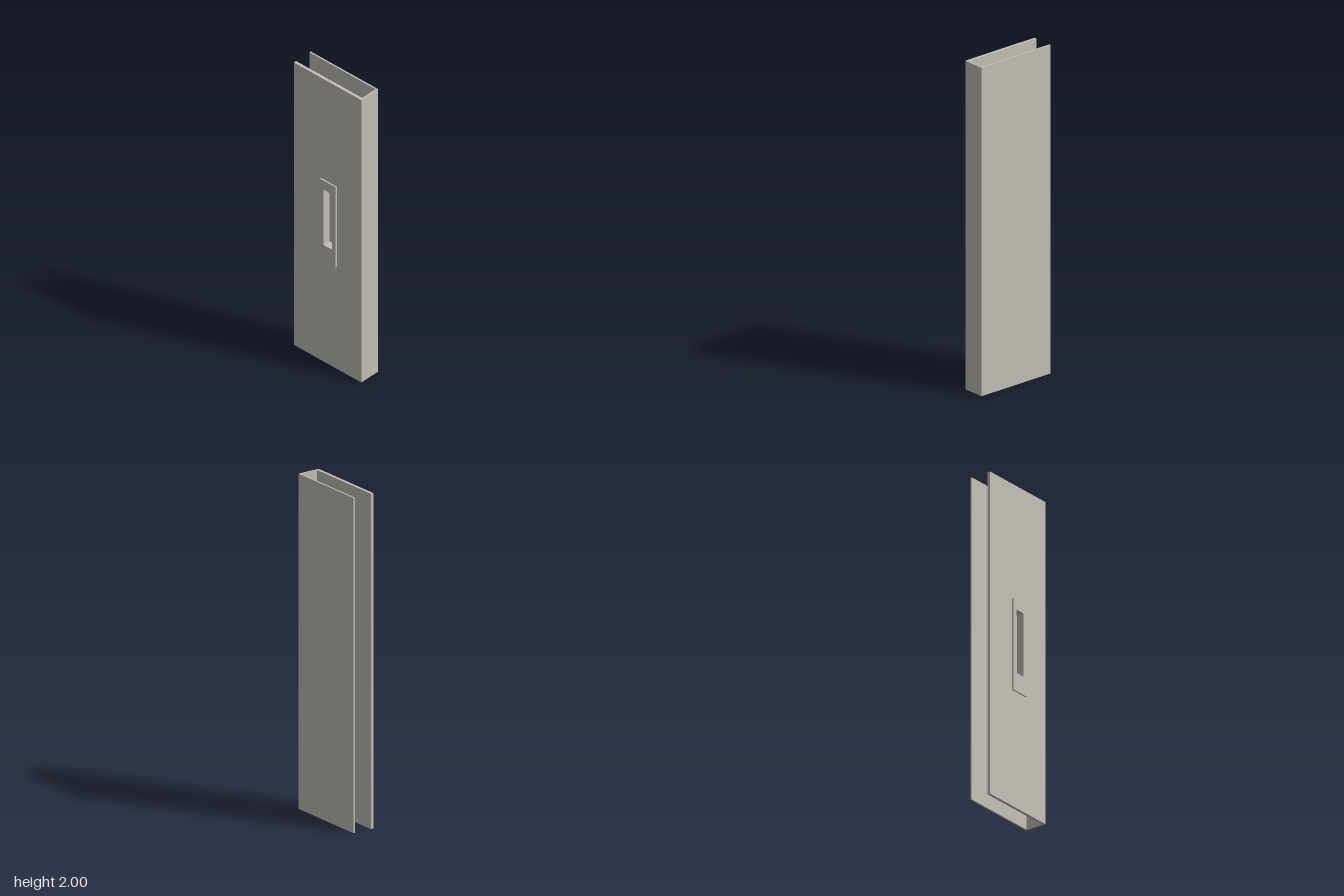
import * as THREE from 'three';

const shell = new THREE.MeshStandardMaterial({ color: 0xc4c1b9 });
shell.name = 'warm grey';
const wood = new THREE.MeshStandardMaterial({ color: 0x9a8a70 });
wood.name = 'wood brown';

// Recess of the pull handle: x0, x1, y0, y1
const RECESS = [-0.026, 0.044, 0.83, 1.23];

function box(name, x0, x1, y0, y1, z0, z1, material = shell) {
  const mesh = new THREE.Mesh(new THREE.BoxGeometry(x1 - x0, y1 - y0, z1 - z0), material);
  mesh.position.set((x0 + x1) / 2, (y0 + y1) / 2, (z0 + z1) / 2);
  mesh.name = name;
  return mesh;
}

function outline(Type, x0, x1, y0, y1) {
  return new Type([[x0, y0], [x1, y0], [x1, y1], [x0, y1]].map(p => new THREE.Vector2(...p)));
}

// Rectangular plate pierced by a rectangular hole
function frame(name, outer, hole, z0, z1) {
  const shape = outline(THREE.Shape, ...outer);
  shape.holes.push(outline(THREE.Path, ...hole));
  const geometry = new THREE.ExtrudeGeometry(shape, { depth: z1 - z0, bevelEnabled: false });
  const mesh = new THREE.Mesh(geometry, shell);
  mesh.position.z = z0;
  mesh.name = name;
  return mesh;
}

export function createModel() {
  const model = new THREE.Group();
  model.name = 'doorSection';
  const [x0, x1, y0, y1] = RECESS;
  const inner = [x0 + 0.004, x1 - 0.004, y0 + 0.004, y1 - 0.004];

  // Folded shell, open at the top, bottom and right
  model.add(
    frame('frontPanel', [-0.258, 0.258, 0, 2], RECESS, 0.046, 0.064),
    box('backPanel', -0.258, 0.258, 0, 2, -0.075, -0.065),
    box('sidePanel', 0.248, 0.258, 0, 2, -0.065, 0.046),
  );

  // Wooden spacer between the panels
  model.add(box('spacerBlock', 0.085, 0.12, 0.4, 1.6, -0.065, 0.046, wood));

  // Flush pull handle: face plate, recessed cup and inner finger rib
  const handle = new THREE.Group();
  handle.name = 'handle';
  handle.add(
    frame('facePlate', [-0.052, 0.07, 0.72, 1.29], inner, 0.064, 0.073),
    frame('cupWall', RECESS, inner, 0.025, 0.064),
    box('cupFloor', x0 + 0.002, x1 - 0.002, y0 + 0.002, y1 - 0.002, 0.022, 0.026),
    box('fingerRib', 0.012, 0.017, inner[2], inner[3], 0.026, 0.036),
  );
  model.add(handle);
  return model;
}
